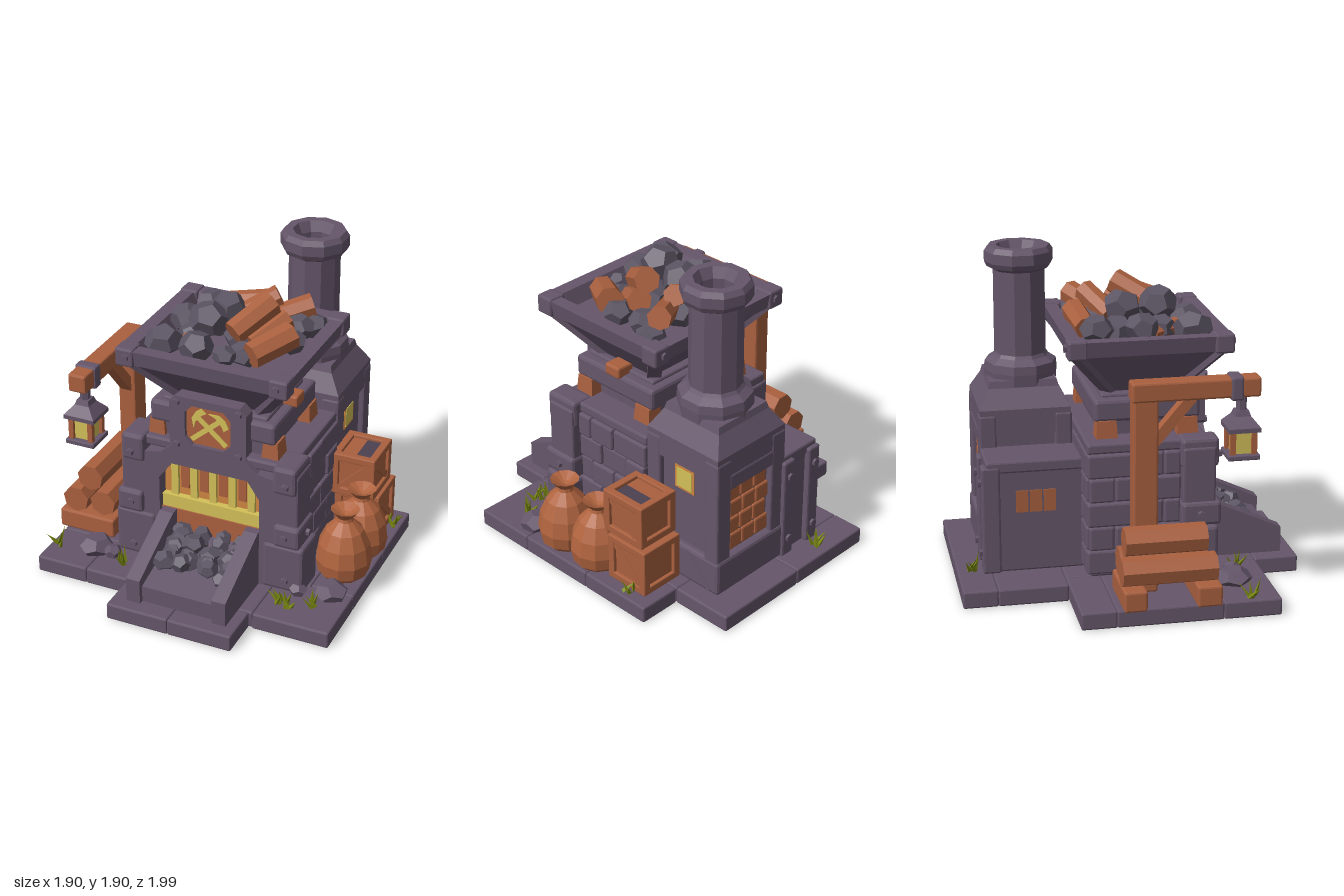
import * as THREE from 'three';
import { RoundedBoxGeometry } from 'three/addons/geometries/RoundedBoxGeometry.js';

const paint = (name, color) => Object.assign(new THREE.MeshStandardMaterial({ color }), { name });

export function createModel() {
  const root = new THREE.Group();
  root.name = 'smelter';
  const stone = paint('stone', 0x65566a), coal = paint('coal', 0x5b5463), wood = paint('wood', 0xa9603f),
    sackCloth = paint('sack cloth', 0xb0643f), glow = paint('glow yellow', 0xd2bf58),
    ember = paint('ember orange', 0xcc8440), leaf = paint('grass', 0x7c8a14), dark = paint('dark stone', 0x4c4150);
  leaf.side = THREE.DoubleSide;
  let seed = 7;
  const rnd = () => (seed = (seed * 16807) % 2147483647) / 2147483647;

  // Facet a geometry and add it as a named part
  const add = (name, mat, geo) => {
    const g = geo.index ? geo.toNonIndexed() : geo;
    g.computeVertexNormals();
    const m = new THREE.Mesh(g, mat);
    m.name = name;
    root.add(m);
    return m;
  };
  // Chamfered block given by its extents
  const box = (name, mat, x0, x1, y0, y1, z0, z1, r = 0.012) => {
    const w = x1 - x0, h = y1 - y0, d = z1 - z0;
    const g = r ? new RoundedBoxGeometry(w, h, d, 1, Math.min(r, w / 3, h / 3, d / 3)) : new THREE.BoxGeometry(w, h, d);
    const m = add(name, mat, g);
    m.position.set((x0 + x1) / 2, (y0 + y1) / 2, (z0 + z1) / 2);
    return m;
  };
  // Skin over stacked rectangles [width, depth, y]
  const rings = (name, mat, cx, cz, list) => {
    const p = [], corner = ([w, d, y], j) => [cx + [-1, 1, 1, -1][j % 4] * w / 2, y, cz + [1, 1, -1, -1][j % 4] * d / 2];
    const quad = (a, b, c, d) => p.push(...a, ...b, ...c, ...a, ...c, ...d);
    for (let i = 0; i < list.length - 1; i++) for (let j = 0; j < 4; j++)
      quad(corner(list[i], j), corner(list[i], j + 1), corner(list[i + 1], j + 1), corner(list[i + 1], j));
    const lo = list[0], hi = list[list.length - 1];
    quad(...[3, 2, 1, 0].map(j => corner(lo, j)));
    quad(...[0, 1, 2, 3].map(j => corner(hi, j)));
    const g = new THREE.BufferGeometry();
    g.setAttribute('position', new THREE.Float32BufferAttribute(p, 3));
    return add(name, mat, g);
  };
  // Beam or log between two points
  const span = (name, mat, a, b, w, h, sides) => {
    const A = new THREE.Vector3(...a), B = new THREE.Vector3(...b), len = A.distanceTo(B);
    const m = add(name, mat, sides ? new THREE.CylinderGeometry(w, h, len, sides).rotateX(Math.PI / 2) : new THREE.BoxGeometry(w, h, len));
    m.position.copy(A).add(B).multiplyScalar(0.5);
    m.lookAt(B);
    return m;
  };
  const rock = (name, mat, x, y, z, r, sy = 0.9) => {
    const m = add(name, mat, new THREE.DodecahedronGeometry(r * 1.06).rotateX(rnd() * 6).rotateY(rnd() * 6).rotateZ(rnd() * 6));
    m.scale.set(0.95 + rnd() * 0.15, sy, 0.95 + rnd() * 0.15);
    m.position.set(x, y, z);
  };
  const poly = pts => new THREE.Shape(pts.map(q => new THREE.Vector2(...q)));
  const slab = (name, mat, shape, z, depth) => {
    const m = add(name, mat, new THREE.ExtrudeGeometry(shape, { depth, bevelEnabled: false }));
    m.position.z = z;
    return m;
  };
  const bolt = (x, y, z, side) => {
    const m = add('bolt', stone, new THREE.CylinderGeometry(0.02, 0.024, 0.03, 6).rotateX(Math.PI / 2));
    if (side) m.rotation.y = side * Math.PI / 2;
    m.position.set(x, y, z);
  };

  // Paved base
  [[-0.51, 0.06, -1, -0.8], [0.06, 0.66, -1, -0.62], [-0.51, 0.06, -0.8, -0.4], [0.06, 0.66, -0.62, -0.4],
    [0.66, 0.92, -0.62, -0.15], [0.66, 0.92, -0.15, 0.35], [0.46, 0.92, 0.35, 0.74], [-0.92, -0.4, -0.4, -0.2],
    [-0.92, -0.4, -0.2, 0.4], [-0.92, -0.6, 0.4, 0.73], [-0.6, -0.33, 0.4, 0.73], [-0.4, 0.66, -0.4, 0.35],
    [-0.33, 0.46, 0.35, 0.73], [-0.33, 0.05, 0.73, 0.99], [0.05, 0.44, 0.73, 0.99]]
    .forEach(([a, b, c, d]) => box('paving', stone, a, b, 0, 0.1, c, d, 0.01));

  // Furnace body with brick courses on both sides and the back
  box('furnaceBody', stone, -0.42, 0.53, 0.1, 0.86, -0.26, 0.36);
  for (let r = 0; r < 5; r++) {
    const y = 0.12 + r * 0.145;
    for (const s of [-1, 1]) {
      const cuts = r % 2 ? [-0.27, -0.12, 0.08, 0.26] : [-0.28, -0.02, 0.16, 0.26];
      for (let i = 0; i < 3; i++) {
        const out = 0.495 + rnd() * 0.02, xs = [0.055 + s * 0.45, 0.055 + s * out].sort((a, b) => a - b);
        box('brick', stone, xs[0], xs[1], y, y + 0.14, cuts[i], cuts[i + 1] - 0.006);
      }
    }
    for (let i = 0; i < 4; i++) box('brick', stone, -0.42 + i * 0.12, -0.305 + i * 0.12, y, y + 0.14, -0.285, -0.24);
  }
  box('furnaceTop', stone, -0.44, 0.55, 0.84, 0.9, -0.28, 0.42);

  // Front pillars and arch
  for (const s of [-1, 1]) {
    const ex = (name, a, b, ...rest) => box(name, stone, ...[0.06 + s * a, 0.06 + s * b].sort((p, q) => p - q), ...rest);
    ex('pillarFoot', 0.34, 0.59, 0.1, 0.4, 0.24, 0.46, 0.02);
    ex('pillarBand', 0.41, 0.57, 0.4, 0.54, 0.25, 0.48, 0.02);
    ex('pillar', 0.42, 0.55, 0.5, 0.86, 0.26, 0.45);
    ex('pillarCap', 0.4, 0.54, 0.74, 0.91, 0.25, 0.47, 0.02);
    for (const y of [0.17, 0.47, 0.8]) bolt(0.06 + s * 0.48, y, y < 0.3 ? 0.465 : 0.48);
    bolt(0.06 + s * 0.575, 0.47, 0.36, s);
  }
  slab('archFrame', stone, poly([[-0.4, 0.1], [-0.25, 0.1], [-0.25, 0.66], [-0.17, 0.77], [0.3, 0.77], [0.375, 0.66],
    [0.375, 0.1], [0.52, 0.1], [0.52, 0.8], [0.36, 0.83], [0.28, 0.9], [-0.16, 0.9], [-0.24, 0.83], [-0.4, 0.8]]), 0.34, 0.11);

  // Glowing hearth with grate
  box('hearthBack', ember, -0.25, 0.375, 0.5, 0.77, 0.362, 0.37, 0);
  box('hearthSill', wood, -0.25, 0.375, 0.3, 0.45, 0.36, 0.42, 0);
  box('hearthFire', glow, -0.25, 0.375, 0.45, 0.53, 0.36, 0.41, 0);
  for (let i = 0; i < 5; i++) {
    const x = -0.18 + i * 0.12;
    box('grateBar', glow, x - 0.022, x + 0.022, 0.52, 0.75, 0.37, 0.39, 0);
    if (i < 4) box('grateGap', wood, x + 0.035, x + 0.085, 0.58, 0.77, 0.37, 0.378, 0);
  }

  // Coal chute
  const chute = (name, x0, x1, pts) => {
    const m = add(name, stone, new THREE.ExtrudeGeometry(poly(pts), { depth: x1 - x0, bevelEnabled: false }).rotateY(-Math.PI / 2));
    m.position.x = x1;
  };
  for (const x of [-0.24, 0.29]) chute('chuteWall', x, x + 0.085, [[0.42, 0.1], [0.91, 0.1], [0.91, 0.25], [0.47, 0.45], [0.42, 0.45]]);
  chute('chuteFloor', -0.16, 0.295, [[0.38, 0.1], [0.88, 0.1], [0.88, 0.2], [0.38, 0.33]]);
  for (let i = 0; i < 24; i++) {
    const z = 0.45 + (i % 6) * 0.05;
    rock('chuteCoal', coal, -0.12 + Math.floor(i / 6) * 0.125 + rnd() * 0.04, 0.43 - z * 0.26 + rnd() * 0.05, z, 0.045 + rnd() * 0.02);
  }

  // Neck between furnace and hopper
  box('neck', stone, -0.27, 0.38, 0.86, 1.14, -0.17, 0.35);
  box('neckCollar', stone, -0.33, 0.44, 0.99, 1.12, -0.22, 0.39, 0.02);
  for (const s of [-1, 1]) for (const z of [-0.15, 0.315])
    rings('neckPost', wood, 0.055 + s * 0.35, z, [[0.11, 0.13, 0.86], [0.085, 0.11, 1.0]]);
  for (const s of [-1, 1]) box('neckWedge', wood, 0.055 + s * 0.35 - 0.06, 0.055 + s * 0.35 + 0.06, 1.11, 1.18, 0.02, 0.13);

  // Hopper
  rings('hopper', stone, 0.06, 0.085, [[0.52, 0.38, 1.12], [0.95, 0.86, 1.4], [0.99, 0.9, 1.4], [1.02, 0.93, 1.49],
    [0.86, 0.77, 1.49], [0.78, 0.7, 1.4]]);
  for (const sx of [-1, 1]) for (const sz of [-1, 1]) {
    span('hopperRib', stone, [0.06 + sx * 0.24, 1.12, 0.085 + sz * 0.18], [0.06 + sx * 0.46, 1.41, 0.085 + sz * 0.415], 0.08, 0.05);
    box('rimCorner', stone, 0.06 + sx * 0.46 - 0.055, 0.06 + sx * 0.46 + 0.055, 1.39, 1.5, 0.085 + sz * 0.415 - 0.055, 0.085 + sz * 0.415 + 0.055);
    bolt(0.06 + sx * 0.45, 1.45, 0.085 + sz * 0.47);
  }

  // Load of coal and logs
  [[-0.2, 1.5, -0.18, 0.09], [-0.02, 1.58, 0, 0.11], [-0.24, 1.51, 0.07, 0.09], [-0.05, 1.6, 0.2, 0.11], [-0.25, 1.5, 0.36, 0.1],
    [-0.05, 1.5, 0.36, 0.1], [0.12, 1.48, 0.36, 0.06], [-0.14, 1.48, 0.2, 0.08], [0.38, 1.5, -0.1, 0.08], [0.4, 1.5, 0.08, 0.08],
    [0.12, 1.47, 0.1, 0.1], [0.12, 1.47, -0.12, 0.1], [0.42, 1.47, -0.2, 0.08], [0.2, 1.46, 0.26, 0.08], [-0.12, 1.46, -0.05, 0.1]]
    .forEach(a => rock('hopperCoal', coal, ...a));
  [[-0.14, 1.49, -0.23, 0.12, 1.54, -0.26, 0.07], [0.16, 1.5, -0.08, 0.4, 1.58, -0.24, 0.07], [0.03, 1.52, -0.06, 0.22, 1.63, -0.18, 0.065],
    [0.11, 1.55, 0.22, 0.25, 1.67, 0.0, 0.075], [0.27, 1.5, 0.34, 0.42, 1.56, 0.12, 0.08], [0.2, 1.48, 0.18, 0.33, 1.58, -0.02, 0.07],
    [-0.2, 1.46, 0.14, -0.12, 1.48, 0.3, 0.05]]
    .forEach(([a, b, c, d, e, f, r]) => span('hopperLog', wood, [a, b, c], [d, e, f], r, r * 0.95, 7));

  // Emblem plate with crossed tools
  const oct = (w, h, c) => [[-w, -h + c], [-w + c, -h], [w - c, -h], [w, -h + c], [w, h - c], [w - c, h], [-w + c, h], [-w, h - c]]
    .map(([x, y]) => [x + 0.06, y + 1.05]);
  const plate = poly(oct(0.235, 0.17, 0.04));
  plate.holes.push(new THREE.Path(oct(0.14, 0.125, 0.045).map(q => new THREE.Vector2(...q))));
  slab('emblemFrame', stone, plate, 0.37, 0.085);
  slab('emblemField', wood, poly(oct(0.15, 0.135, 0.045)), 0.39, 0.04);
  for (const s of [-1, 1]) {
    const tool = (name, shape, z) => {
      const m = slab(name, glow, poly(shape), z, 0.008);
      m.position.set(0.06, 1.045, z);
      m.rotation.z = s * 0.86;
    };
    tool('toolHandle', [[-0.014, -0.14], [0.014, -0.14], [0.014, 0.11], [-0.014, 0.11]], 0.432 + s * 0.001);
    tool('toolHead', [[-0.07, 0.06], [-0.03, 0.08], [0.03, 0.08], [0.06, 0.07], [0.06, 0.11], [0.02, 0.12], [-0.03, 0.11]], 0.434 + s * 0.001);
    for (const y of [0.915, 1.185]) bolt(0.06 + s * 0.19, y, 0.46);
  }

  // Chimney tower
  const tx = 0.28, tz = -0.56;
  box('towerCore', stone, 0.03, 0.52, 0.1, 0.96, -0.79, -0.31);
  box('towerPlinth', stone, 0.0, 0.56, 0.1, 0.32, -0.84, -0.28, 0.02);
  for (const sx of [-1, 1]) for (const sz of [-1, 1])
    box('towerPost', stone, tx + sx * 0.22 - 0.055, tx + sx * 0.22 + 0.055, 0.3, 0.96, tz + sz * 0.22 - 0.05, tz + sz * 0.22 + 0.05);
  rings('towerRoof', stone, tx, tz, [[0.54, 0.53, 0.84], [0.54, 0.53, 0.99], [0.4, 0.41, 1.1], [0.38, 0.39, 1.14]]);
  const lathe = (name, mat, x, z, n, pts) => {
    const m = add(name, mat, new THREE.LatheGeometry(pts.map(q => new THREE.Vector2(...q)), n));
    m.position.set(x, 0, z);
    return m;
  };
  lathe('chimney', stone, tx, -0.55, 10, [[0, 1.1], [0.21, 1.1], [0.215, 1.17], [0.21, 1.22], [0.165, 1.25], [0.152, 1.27], [0.15, 1.76],
    [0.185, 1.78], [0.2, 1.81], [0.2, 1.87], [0.18, 1.9], [0.13, 1.9], [0.1, 1.84], [0.1, 1.6], [0, 1.6]]);
  // Tower window and rear firebrick panel
  box('windowFrame', ember, 0.516, 0.525, 0.665, 0.815, -0.625, -0.48, 0);
  box('windowPane', glow, 0.52, 0.529, 0.68, 0.8, -0.61, -0.495, 0);
  span('plinthBrace', stone, [0.557, 0.12, -0.78], [0.557, 0.3, -0.6], 0.02, 0.03);
  for (let r = 0; r < 4; r++) for (let i = 0; i < 3; i++) {
    const x = 0.12 + i * 0.108 + (r % 2) * 0.02 - 0.01;
    box('fireBrick', wood, x, x + 0.105, 0.33 + r * 0.11, 0.435 + r * 0.11, -0.805, -0.77);
  }
  box('rearLintel', stone, 0.1, 0.46, 0.76, 0.86, -0.83, -0.77);

  // Side annex with vent
  box('annex', stone, -0.25, 0.03, 0.1, 0.75, -0.82, -0.27);
  box('annexLid', stone, -0.265, 0.03, 0.7, 0.77, -0.83, -0.27);
  for (const x of [-0.27, -0.06]) {
    box('annexPost', stone, x, x + 0.09, 0.1, 0.74, -0.855, -0.75);
    bolt(x + 0.045, 0.64, -0.857);
    bolt(x + 0.045, 0.22, -0.857);
  }
  for (let i = 0; i < 3; i++) box('annexVent', wood, -0.257, -0.249, 0.46, 0.59, -0.66 + i * 0.08, -0.59 + i * 0.08, 0);

  // Stacked crates
  const crate = (x0, x1, y0, y1, z0, z1) => {
    box('crateBody', wood, x0 + 0.02, x1 - 0.02, y0 + 0.02, y1 - 0.02, z0 + 0.02, z1 - 0.02, 0);
    for (const y of [y0, y1 - 0.045]) {
      for (const z of [z0, z1 - 0.045]) box('crateRail', wood, x0, x1, y, y + 0.045, z, z + 0.045, 0.006);
      for (const x of [x0, x1 - 0.045]) box('crateRail', wood, x, x + 0.045, y, y + 0.045, z0, z1, 0.006);
    }
    for (const x of [x0, x1 - 0.045]) for (const z of [z0, z1 - 0.045]) box('cratePost', wood, x, x + 0.045, y0, y1, z, z + 0.045, 0.006);
    span('crateBrace', wood, [x1 - 0.015, y0 + 0.04, z0 + 0.04], [x1 - 0.015, y1 - 0.04, z1 - 0.04], 0.02, 0.04);
    span('crateBrace', wood, [x0 + 0.04, y0 + 0.04, z1 - 0.015], [x1 - 0.04, y1 - 0.04, z1 - 0.015], 0.04, 0.02);
  };
  crate(0.56, 0.84, 0.1, 0.39, -0.55, -0.26);
  crate(0.55, 0.82, 0.39, 0.66, -0.51, -0.21);
  box('crateShade', dark, 0.685, 0.77, 0.64, 0.645, -0.46, -0.26, 0);

  // Sacks
  for (const [x, z, h] of [[0.78, 0.15, 1], [0.78, -0.12, 0.97]]) {
    const m = lathe('sack', sackCloth, x, z, 11, [[0, 0.1], [0.11, 0.1], [0.15, 0.14], [0.165, 0.22], [0.15, 0.32], [0.11, 0.41],
      [0.05, 0.47], [0.045, 0.49], [0.085, 0.54], [0.03, 0.51], [0, 0.5]]);
    m.scale.y = h;
    m.rotation.y = z * 5;
  }

  // Log pile
  box('pileBeam', wood, -0.96, -0.6, 0.1, 0.22, 0.24, 0.38);
  box('pileBeam', wood, -0.96, -0.6, 0.1, 0.22, -0.17, -0.04);
  [[-0.86, 0.3], [-0.69, 0.3], [-0.78, 0.445]].forEach(([x, y], i) =>
    span('pileLog', wood, [x, y, -0.17 + i * 0.015], [x, y, 0.36 - i * 0.02], 0.084, 0.084, 7));

  // Lantern post
  box('lampPost', wood, -0.7, -0.59, 0.1, 1.3, -0.07, 0.07);
  box('postFoot', wood, -0.62, -0.54, 0.1, 0.34, -0.06, 0.1);
  box('lampArm', wood, -0.71, -0.6, 1.21, 1.32, -0.08, 0.64);
  span('armBrace', wood, [-0.65, 0.95, 0.03], [-0.65, 1.22, 0.26], 0.07, 0.06);
  box('armBand', stone, -0.72, -0.59, 1.195, 1.33, 0.47, 0.54);
  const lx = -0.66, lz = 0.54;
  span('lampHook', stone, [lx, 1.22, lz], [lx, 1.1, lz], 0.03, 0.03, 6);
  rings('lampRoof', stone, lx, lz, [[0.19, 0.18, 1.02], [0.19, 0.18, 1.045], [0.09, 0.09, 1.1], [0.07, 0.07, 1.13]]);
  box('lampGlass', glow, lx - 0.055, lx + 0.055, 0.89, 1.02, lz - 0.055, lz + 0.055, 0);
  for (const sx of [-1, 1]) for (const sz of [-1, 1])
    box('lampCorner', wood, lx + sx * 0.06 - 0.015, lx + sx * 0.06 + 0.015, 0.88, 1.03, lz + sz * 0.06 - 0.015, lz + sz * 0.06 + 0.015, 0);
  box('lampBase', stone, lx - 0.09, lx + 0.09, 0.86, 0.89, lz - 0.09, lz + 0.09, 0.006);

  // Loose rocks and grass tufts
  [[0.8, 0.13, 0.39, 0.09, 0.7], [-0.64, 0.13, 0.52, 0.1, 0.6], [-0.52, 0.13, 0.54, 0.05, 0.8], [0.62, 0.13, 0.45, 0.05, 0.8]]
    .forEach(a => rock('looseRock', stone, ...a));
  for (const [x, z] of [[0.56, 0.57], [0.62, 0.59], [-0.86, 0.57], [-0.44, 0.59], [0.86, -0.44], [-0.2, -0.92], [0.74, 0.53]])
    for (let i = 0; i < 5; i++) {
      const m = add('grassBlade', leaf, new THREE.ConeGeometry(0.016, 0.08 + rnd() * 0.05, 3).translate(0, 0.045, 0));
      m.position.set(x + (rnd() - 0.5) * 0.05, 0.1, z + (rnd() - 0.5) * 0.05);
      m.rotation.set((rnd() - 0.5) * 1.3, 0, (rnd() - 0.5) * 1.3);
    }
  return root;
}
